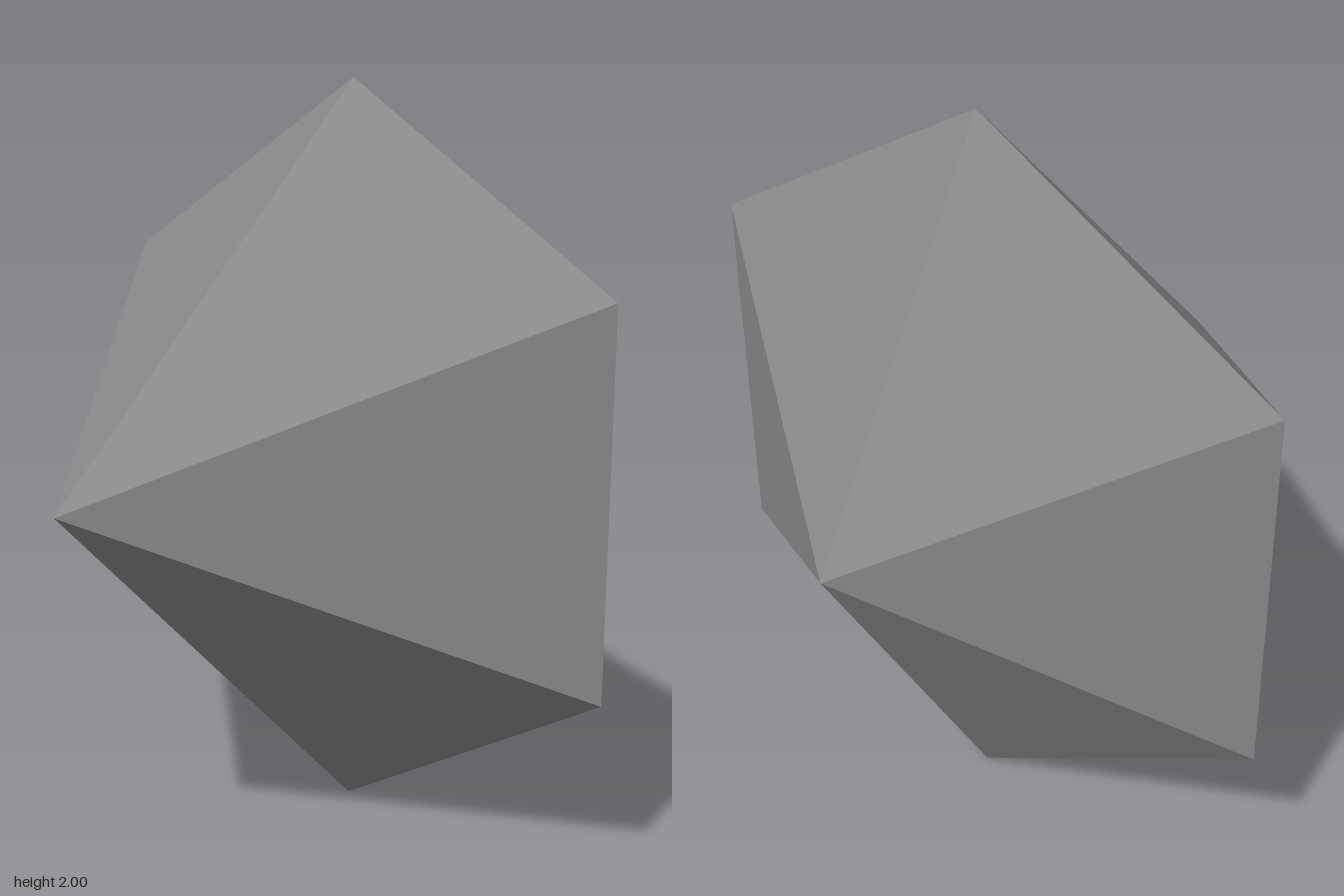
import * as THREE from 'three';

const SIDES = 6;
const RADIUS = 1;
const RIM_Z = -0.2;

// Open six-sided pyramid whose base lies on the rim; dir = 1 points forward, -1 backward
function pyramid(name, height, dir, material) {
  const geometry = new THREE.ConeGeometry(RADIUS, height, SIDES, 1, true);
  geometry.rotateX(dir * Math.PI / 2);
  geometry.translate(0, 1, RIM_Z + dir * height / 2);
  const mesh = new THREE.Mesh(geometry, material);
  mesh.name = name;
  return mesh;
}

export function createModel() {
  const group = new THREE.Group();
  group.name = 'hexagonalGem';
  const material = new THREE.MeshStandardMaterial({ color: 0x898989, flatShading: true });

  // Tall front point and shallower back point share one hexagonal rim
  group.add(pyramid('frontPyramid', 1, 1, material));
  group.add(pyramid('backPyramid', 0.6, -1, material));
  return group;
}
